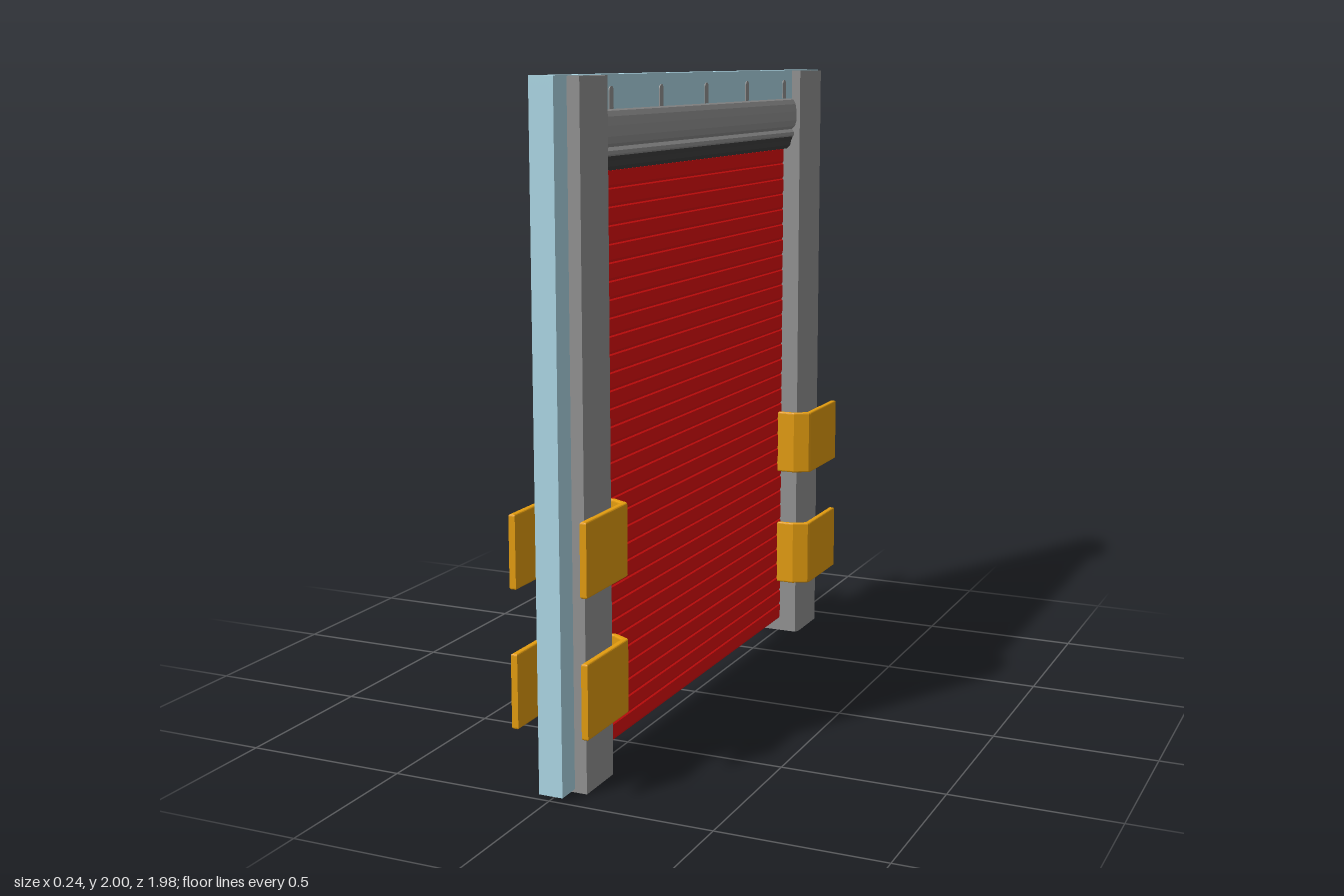
import * as THREE from 'three';

const mat = (name, color) => {
  const m = new THREE.MeshStandardMaterial({ color });
  m.name = name;
  return m;
};

export function createModel() {
  const root = new THREE.Group();
  root.name = 'rollerDoor';
  const blue = mat('paleBlue', 0xadd8e6);
  const grey = mat('steelGrey', 0x929292);
  const dark = mat('darkGrey', 0x404040);
  const red = mat('shutterRed', 0xdf0e0e);
  const orange = mat('guardOrange', 0xe39c0f);

  const add = (name, geo, material, x = 0, y = 0, z = 0, parent = root) => {
    const m = new THREE.Mesh(geo, material);
    m.name = name;
    m.position.set(x, y, z);
    parent.add(m);
    return m;
  };
  const box = (name, material, w, h, d, x, y, z, parent) =>
    add(name, new THREE.BoxGeometry(w, h, d), material, x, y, z, parent);
  const shapeOf = pts => new THREE.Shape(pts.map(([x, y]) => new THREE.Vector2(x, y)));
  // Plan outline given as x, z and raised along y
  const raise = (plan, options) => new THREE.ExtrudeGeometry(
    shapeOf(plan.map(([x, z]) => [x, -z])), options).rotateX(-Math.PI / 2);
  // Profile of half-widths by height, mirrored in x and run across the opening
  const acrossDoor = (name, half, material, span = 1.48) => {
    const pts = [...half, ...[...half].reverse().map(([x, y]) => [-x, y])];
    const geo = new THREE.ExtrudeGeometry(shapeOf(pts), { depth: span, bevelEnabled: false });
    return add(name, geo, material, 0, 0, -span / 2);
  };

  // Lintel with small brackets on both faces
  box('lintel', blue, 0.074, 0.105, 1.98, 0, 1.9475, 0);
  const tab = new THREE.Shape();
  tab.moveTo(-0.013, 0);
  tab.lineTo(0.013, 0);
  tab.lineTo(0.013, 0.05);
  tab.absarc(0, 0.05, 0.013, 0, Math.PI, false);
  const tabGeo = new THREE.ExtrudeGeometry(tab, { depth: 0.08, bevelEnabled: false, curveSegments: 6 });
  tabGeo.translate(0, 0, -0.04);
  tabGeo.rotateY(Math.PI / 2);
  for (let i = -2; i <= 2; i++) add('lintelBracket', tabGeo, grey, 0, 1.905, i * 0.328);

  // Rounded roller housing, curling under to a dark slot
  acrossDoor('rollerHousing', [[0.038, 1.8], [0.049, 1.81], [0.055, 1.83], [0.055, 1.86],
    [0.051, 1.885], [0.043, 1.9], [0.036, 1.905]], grey);
  acrossDoor('housingLip', [[0.042, 1.775], [0.046, 1.78], [0.046, 1.79], [0.038, 1.8]], grey);
  acrossDoor('shutterSlot', [[0.02, 1.733], [0.032, 1.745], [0.036, 1.762], [0.042, 1.775]], dark);

  // Thin shutter of nearly flat slats, each with a small ledge on top
  const count = 32, bottom = 0.045, pitch = (1.735 - bottom) / count;
  const slats = [];
  for (let i = 0; i < count; i++) {
    const y = bottom + i * pitch;
    slats.push([0.004, y], [0.008, y + 0.008], [0.008, y + pitch - 0.004]);
  }
  acrossDoor('shutter', slats, red);

  // Guide column with chamfered inner corners
  const columnGeo = raise([[-0.075, 0.915], [0.075, 0.915], [0.075, 0.752], [0.067, 0.734],
    [-0.067, 0.734], [-0.075, 0.752]], { depth: 1.998, bevelEnabled: false });

  // Guard outline in plan: a long plate, bent inward and reaching the shutter
  const guardPlan = [[0.1, 0.99], [0.12, 0.99], [0.12, 0.737], [0.115, 0.728], [0.068, 0.702],
    [0.006, 0.702], [0.006, 0.716], [0.064, 0.718], [0.1, 0.742]];
  const guardGeo = height => raise(guardPlan, { depth: height - 0.012, bevelEnabled: true,
    bevelSegments: 3, bevelSize: 0.005, bevelThickness: 0.006, bevelOffset: -0.005 })
    .translate(0, 0.006, 0);

  // Two matching ends: frame post, guide column and four guards each
  for (const s of [1, -1]) {
    const end = new THREE.Group();
    end.name = s > 0 ? 'frontPost' : 'backPost';
    if (s < 0) end.rotation.y = Math.PI;
    root.add(end);
    box('framePost', blue, 0.074, 1.99, 0.16, 0, 1.005, 0.91, end);
    add('guideColumn', columnGeo, grey, 0, 0, 0, end);
    for (const [y, h] of [[0.19, 0.22], [0.595, 0.215]]) {
      for (const x of [1, -1]) {
        const guard = add('guard', guardGeo(h), orange, 0, x < 0 ? y + h : y, 0, end);
        guard.rotation.z = x < 0 ? Math.PI : 0;
        // Shallow strips inside the guards of one back corner
        if (s < 0 && x > 0)
          for (const f of [0.34, 0.66])
            box('guardStrip', dark, 0.004, 0.03, 0.2, 0.0985, h * f, 0.87, guard);
      }
    }
  }
  return root;
}
